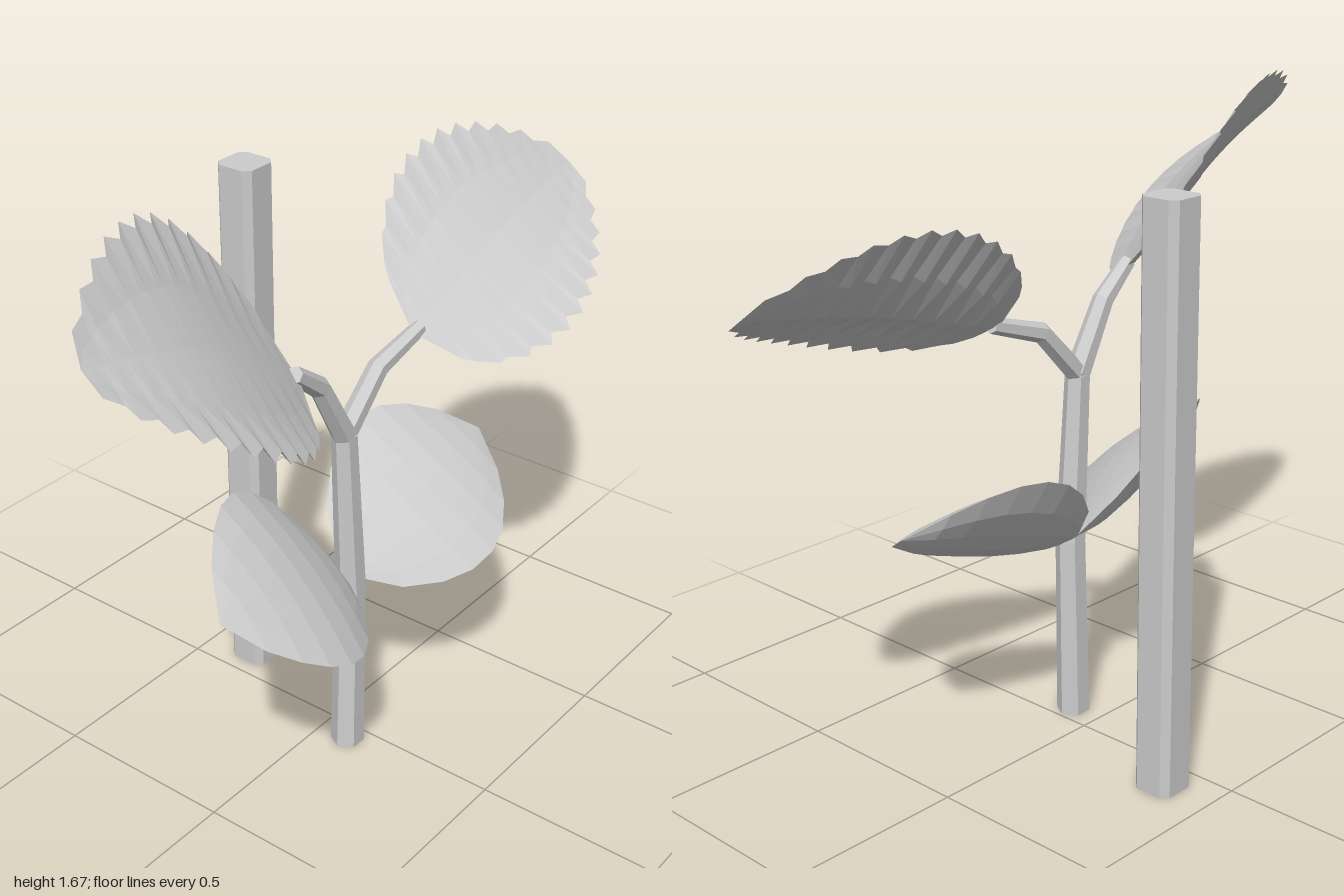
import * as THREE from 'three';

const V = (x, y, z) => new THREE.Vector3(x, y, z);
const grey = new THREE.MeshStandardMaterial({ color: 0xcccccc, flatShading: true });
grey.name = 'plain grey';

// Faceted sheet from a grid of points; flip reverses the side it faces
function sheet(rows, cols, point, flip = false) {
  const pos = [];
  const tri = (a, b, c) => (flip ? [a, c, b] : [a, b, c]).forEach((p) => pos.push(p.x, p.y, p.z));
  for (let i = 0; i < rows; i++) {
    for (let j = 0; j < cols; j++) {
      const a = point(i, j), b = point(i + 1, j), c = point(i + 1, j + 1), d = point(i, j + 1);
      tri(a, b, c);
      tri(a, c, d);
    }
  }
  const g = new THREE.BufferGeometry();
  g.setAttribute('position', new THREE.Float32BufferAttribute(pos, 3));
  g.computeVertexNormals();
  return g;
}

function add(parent, name, geometry) {
  const m = new THREE.Mesh(geometry, grey);
  m.name = name;
  parent.add(m);
  return m;
}

// Six-sided tapering limb through a few points, closed at both ends
function limb(points, radii) {
  const n = points.length - 1, front = V(0, 0, 1);
  const point = (i, j) => {
    const k = Math.min(Math.max(i - 1, 0), n);
    const r = i === 0 || i === n + 2 ? 0 : radii[k];
    const t = points[Math.min(k + 1, n)].clone().sub(points[Math.max(k - 1, 0)]).normalize();
    const u = V(0, 0, 0).crossVectors(t, front).normalize();
    const w = V(0, 0, 0).crossVectors(u, t);
    const a = ((j % 6) / 6) * Math.PI * 2;
    return points[k].clone().addScaledVector(u, r * Math.cos(a)).addScaledVector(w, r * Math.sin(a));
  };
  return sheet(n + 2, 6, point);
}

// Leaf from base to tip, with its widest chord running from front to back at position mid
function leaf(name, base, tip, front, back, o) {
  const group = new THREE.Group();
  group.name = name;
  const along = tip.clone().sub(base), half = back.clone().sub(front).multiplyScalar(0.5);
  const up = V(0, 0, 0).crossVectors(along, half).normalize();
  const mirrored = up.y < 0;
  if (mirrored) up.negate();
  const arch = front.clone().add(back).multiplyScalar(0.5).sub(base.clone().lerp(tip, o.mid));
  const surface = (depth, pleat) => (i, j) => {
    const v = (j / o.cols) * 2 - 1, tooth = i % 2 === 1;
    const s = i / o.rows;
    let w = Math.pow(Math.max(0, Math.sin(Math.PI * Math.pow(s, o.skew))), o.round);
    if (i === 0 || i === o.rows) w = 0;
    const edge = Math.abs(v) === 1;
    const wide = o.serrated && edge ? w * (tooth ? 1.02 : 0.92) : w;
    // teeth sweep towards the tip
    const shift = o.serrated && tooth ? 0.02 * Math.abs(v) : 0;
    const p = base.clone().addScaledVector(along, Math.min(1, s + shift * (w > 0 ? 1 : 0)));
    p.addScaledVector(arch, Math.sin(Math.PI * s) * (1 - o.cup * (1 - v * v)));
    p.addScaledVector(half, v * wide);
    const fold = edge ? 1 : tooth ? 1 : 1 - pleat * Math.abs(v) * 1.5;
    return p.addScaledVector(up, depth * (1 - v * v) * w * fold);
  };
  add(group, 'leafTop', sheet(o.rows, o.cols, surface(o.dome, 0), mirrored));
  add(group, 'leafUnderside', sheet(o.rows, o.cols, surface(-o.belly, o.serrated ? 0.7 : 0), !mirrored));
  return group;
}

export function createModel() {
  const model = new THREE.Group();
  model.name = 'plantWithStake';

  // Chamfered support stake
  const s = 0.055, c = 0.037;
  const outline = [[s, -c], [s, c], [c, s], [-c, s], [-s, c], [-s, -c], [-c, -s], [c, -s]];
  const shape = new THREE.Shape(outline.map(([x, y]) => new THREE.Vector2(x, y)));
  const stakeGeometry = new THREE.ExtrudeGeometry(shape, { depth: 1.5, bevelEnabled: false });
  stakeGeometry.rotateX(-Math.PI / 2);
  add(model, 'stake', stakeGeometry).position.set(0.096, 0, -0.355);

  // Stem and its two branches
  const fork = V(-0.068, 0.95, 0.085);
  add(model, 'stem', limb([V(-0.053, 0, 0.088), V(-0.042, 0.5, 0.087), fork], [0.045, 0.04, 0.033]));
  add(model, 'rightBranch', limb([fork, V(-0.17, 1.125, 0.09), V(-0.275, 1.205, 0.1)], [0.033, 0.028, 0.022]));
  add(model, 'leftBranch', limb([fork, V(0.06, 1.085, 0.09), V(0.22, 1.135, 0.1)], [0.03, 0.027, 0.021]));

  // Serrated upper leaves
  const upper = { rows: 24, cols: 4, skew: 0.78, round: 0.62, dome: 0, belly: 0.035, cup: 0.4, serrated: true };
  model.add(leaf('upperRightLeaf', V(-0.255, 1.18, 0.1), V(-1, 1.54, 0.17),
    V(-0.69, 1.28, 0.4), V(-0.49, 1.62, -0.1), { ...upper, mid: 0.45 }));
  model.add(leaf('upperLeftLeaf', V(0.19, 1.13, 0.1), V(1, 1.32, 0.04),
    V(0.58, 1.11, 0.35), V(0.56, 1.465, -0.15), { ...upper, mid: 0.47 }));

  // Smooth-edged, plump lower leaves
  const lower = { rows: 8, cols: 6, skew: 0.92, round: 0.75, dome: 0.035, belly: 0.07, cup: 0.3, serrated: false };
  model.add(leaf('lowerRightLeaf', V(-0.03, 0.515, 0.06), V(-0.615, 0.72, 0.15),
    V(-0.33, 0.53, 0.33), V(-0.25, 0.81, -0.1), { ...lower, mid: 0.45 }));
  model.add(leaf('lowerLeftLeaf', V(-0.04, 0.515, 0.06), V(0.56, 0.685, 0.07),
    V(0.24, 0.5, 0.305), V(0.2, 0.78, -0.115), { ...lower, mid: 0.42 }));

  return model;
}
